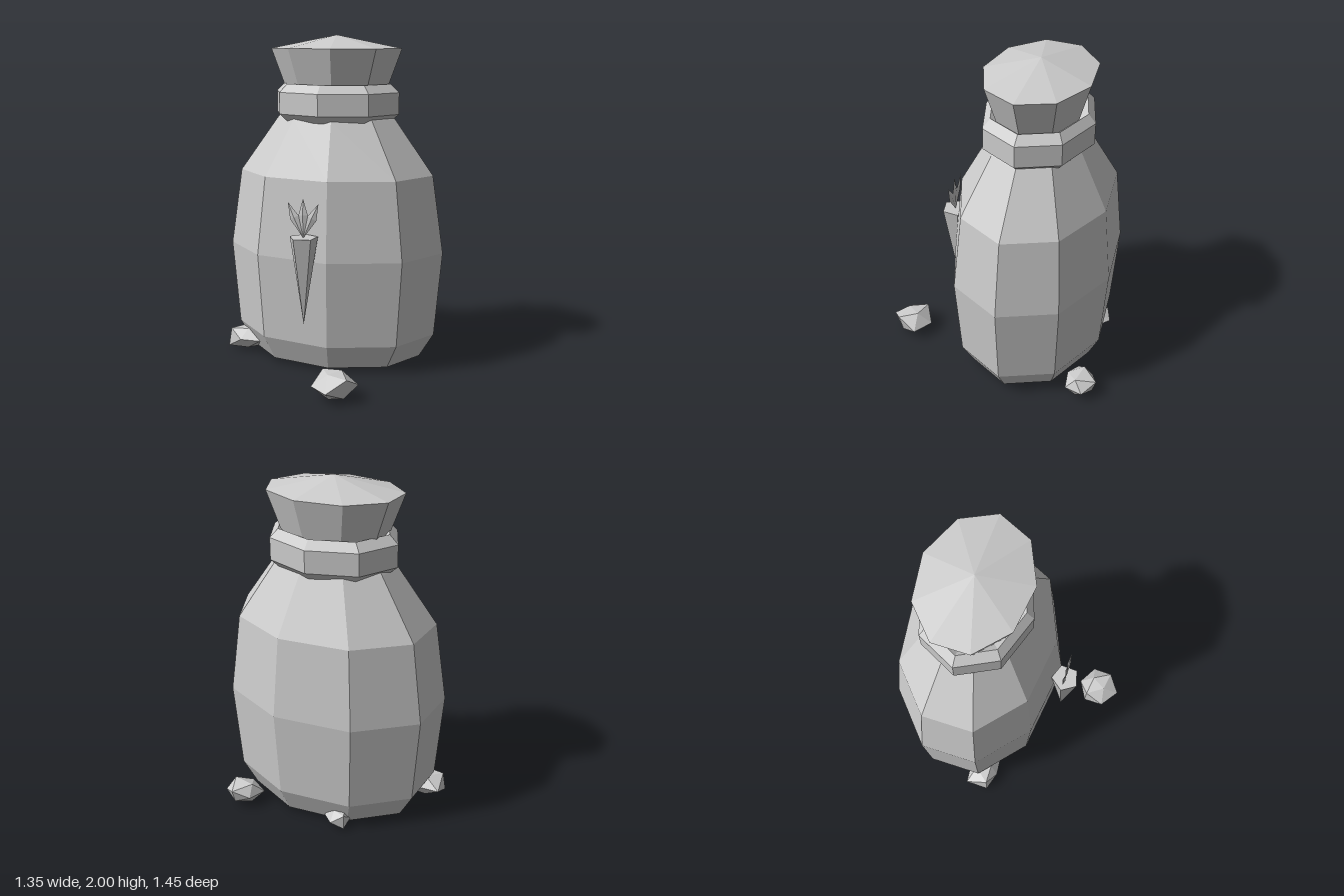
import * as THREE from 'three';

export function createModel() {
  const model = new THREE.Group();
  const grey = new THREE.MeshStandardMaterial({ color: 0xcccccc, flatShading: true });
  grey.name = 'plain grey';

  function add(parent, name, geometry, x = 0, y = 0, z = 0) {
    const mesh = new THREE.Mesh(geometry, grey);
    mesh.name = name;
    mesh.position.set(x, y, z);
    parent.add(mesh);
    return mesh;
  }

  // Oval faceted solid turned from a [radius, height] profile, first corner on +x
  function turned(profile, sides, depth) {
    const points = profile.map(([r, y]) => new THREE.Vector2(r, y));
    return new THREE.LatheGeometry(points, sides, Math.PI / 2).scale(1, 1, depth);
  }

  // Sack body, cord and flared mouth
  const sack = new THREE.Group();
  sack.name = 'sack';
  sack.position.set(-0.01, 0, -0.18);
  model.add(sack);
  add(sack, 'sackBody', turned([
    [0, 0.03], [0.55, 0.03], [0.64, 0.18], [0.685, 0.7], [0.615, 1.17], [0.375, 1.5], [0.28, 1.62],
  ], 9, 0.74));
  add(sack, 'neckCord', turned([
    [0.27, 1.53], [0.345, 1.485], [0.398, 1.53], [0.398, 1.66], [0.345, 1.71], [0.27, 1.66], [0.27, 1.53],
  ], 8, 0.82));
  add(sack, 'sackMouth', turned([[0.28, 1.58], [0.325, 1.69], [0.412, 1.92], [0, 2]], 9, 0.765));

  // Carrot badge: five-sided root with a fan of flat leaves
  const carrot = new THREE.Group();
  carrot.name = 'carrot';
  carrot.position.set(-0.01, 0, 0.37);
  model.add(carrot);
  const root = new THREE.ConeGeometry(0.086, 0.52, 5).rotateX(Math.PI).rotateY(THREE.MathUtils.degToRad(15));
  add(carrot, 'carrotRoot', root, 0, 0.6, 0);
  for (const [tilt, length] of [[0.43, 0.225], [0, 0.23], [-0.43, 0.225]]) {
    const leaf = new THREE.OctahedronGeometry(1);
    const p = leaf.attributes.position;
    // Widest point sits above the middle of the leaf
    for (let i = 0; i < p.count; i++) {
      const y = Math.abs(p.getY(i)) < 0.01 ? 0.58 : (p.getY(i) + 1) / 2;
      p.setXYZ(i, p.getX(i) * 0.029, y * length, p.getZ(i) * 0.009);
    }
    add(carrot, 'carrotLeaf', leaf, 0, 0.855, 0).rotation.z = tilt;
  }

  // Rough stone: icosahedron with uneven corners, fitted to a given size
  function stone(seed, w, h, d) {
    const g = new THREE.IcosahedronGeometry(1, 0).rotateY(seed);
    const p = g.attributes.position;
    const v = new THREE.Vector3();
    for (let i = 0; i < p.count; i++) {
      v.fromBufferAttribute(p, i);
      const noise = Math.sin(v.x * 5.3 + v.y * 7.1 + v.z * 3.7 + seed * 4.1);
      v.multiplyScalar(1 + 0.24 * noise);
      p.setXYZ(i, v.x, v.y, v.z);
    }
    g.center();
    g.boundingBox.getSize(v);
    g.computeBoundingBox();
    return g.scale(w / v.x, h / v.y, d / v.z);
  }

  // Stones around the base: centre, then size
  [
    [0.26, 0.085, 0.585, 0.24, 0.15, 0.27],
    [-0.55, 0.085, 0, 0.24, 0.13, 0.19],
    [0.38, 0.08, -0.63, 0.22, 0.13, 0.19],
    [-0.23, 0.06, -0.55, 0.15, 0.11, 0.16],
  ].forEach(([x, y, z, w, h, d], i) => add(model, 'stone', stone(i + 1, w, h, d), x, y, z));

  return model;
}
